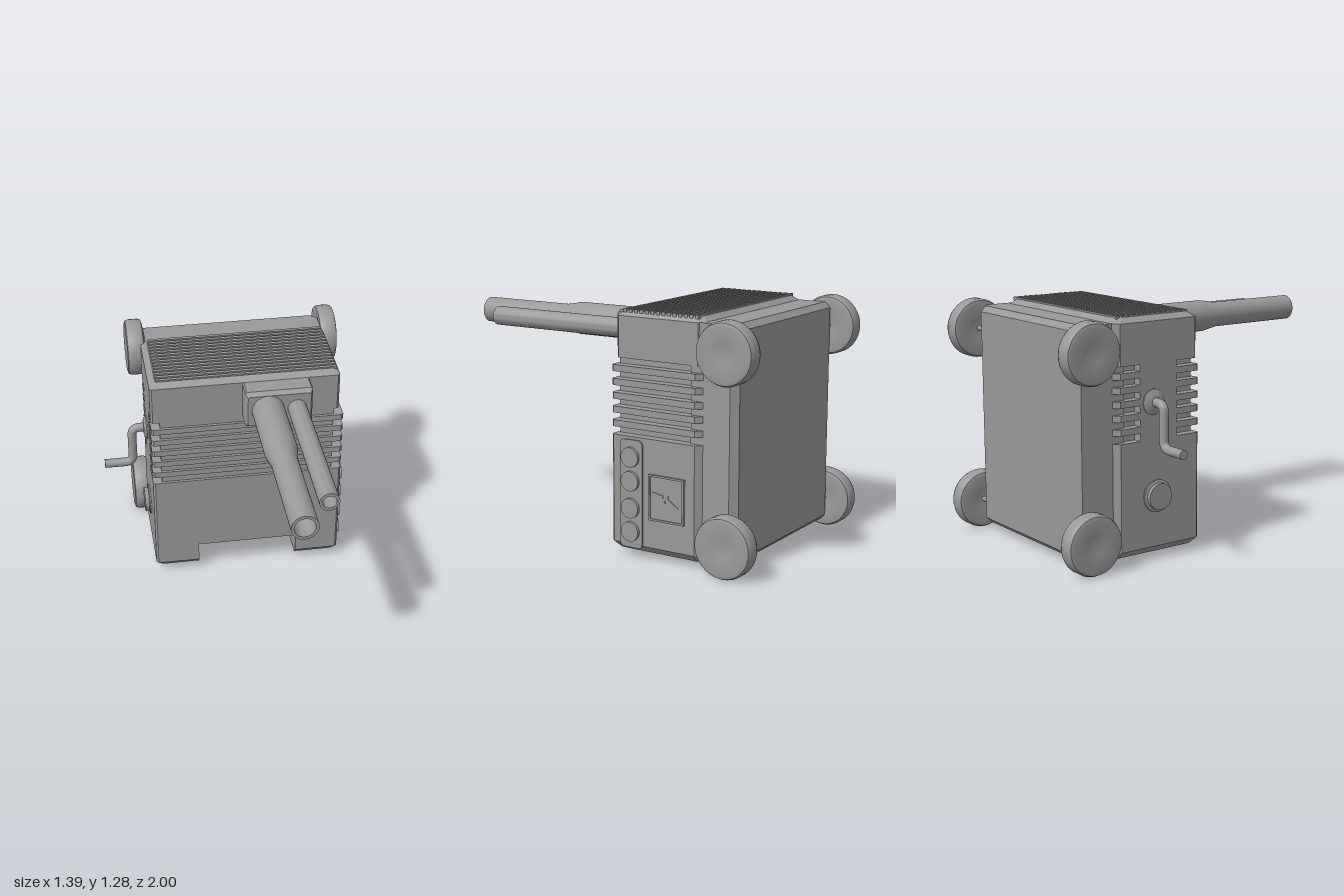
import * as THREE from 'three';
import { toCreasedNormals } from 'three/addons/utils/BufferGeometryUtils.js';

const grey = new THREE.MeshStandardMaterial({ color: 0x999999 });
grey.name = 'plain grey';

export function createModel() {
  const model = new THREE.Group();

  const add = (name, geometry, x = 0, y = 0, z = 0, parent = model) => {
    const mesh = new THREE.Mesh(geometry, grey);
    mesh.name = name;
    mesh.position.set(x, y, z);
    parent.add(mesh);
    return mesh;
  };
  const box = (name, x0, x1, y0, y1, z0, z1) =>
    add(name, new THREE.BoxGeometry(x1 - x0, y1 - y0, z1 - z0), (x0 + x1) / 2, (y0 + y1) / 2, (z0 + z1) / 2);

  // Plan rectangle with cut corners: front -x, front +x, back +x, back -x
  const plan = (x0, x1, zf, zb, [a, b, c, d] = [0, 0, 0, 0]) => [
    [x0, zf - a], [x0 + a, zf], [x1 - b, zf], [x1, zf - b],
    [x1, zb + c], [x1 - c, zb], [x0 + d, zb], [x0, zb + d],
  ];
  // Solid through stacked convex outlines, each given as [height, outline]
  const loft = (sections) => {
    const v = [];
    const tri = (...points) => points.forEach((p) => v.push(...p));
    const rings = sections.map(([y, o]) => o.map(([x, z]) => [x, y, z]));
    const n = rings[0].length;
    for (let s = 0; s < rings.length - 1; s++) {
      const lo = rings[s], hi = rings[s + 1];
      for (let i = 0; i < n; i++) {
        const j = (i + 1) % n;
        tri(lo[i], lo[j], hi[j]);
        tri(lo[i], hi[j], hi[i]);
      }
    }
    const bottom = rings[0], top = rings[rings.length - 1];
    for (let i = 1; i < n - 1; i++) {
      tri(bottom[0], bottom[i + 1], bottom[i]);
      tri(top[0], top[i], top[i + 1]);
    }
    const g = new THREE.BufferGeometry();
    g.setAttribute('position', new THREE.Float32BufferAttribute(v, 3));
    g.computeVertexNormals();
    return g;
  };
  // Side profile in (-z, y) extruded along +x
  const across = (points, depth) => {
    const shape = Array.isArray(points) ? new THREE.Shape(points.map(([u, y]) => new THREE.Vector2(u, y))) : points;
    return new THREE.ExtrudeGeometry(shape, { depth, bevelEnabled: false, curveSegments: 10 }).rotateY(Math.PI / 2);
  };
  const lathe = (points, sides = 40) =>
    toCreasedNormals(new THREE.LatheGeometry(points.map(([r, y]) => new THREE.Vector2(r, y)), sides), 0.6);

  const F = -0.144, B = -0.675, L = -0.45, R = 0.62;
  const cuts = [0.012, 0.012, 0.035, 0.035];

  // Lower body, with two feet either side of a sloping front notch
  add('lowerBody', loft([[0.185, plan(L, R, F, B, cuts)], [0.645, plan(L, R, F, B, cuts)]]));
  for (const [x0, x1, i0, i1, c] of [
    [L, -0.2, 0.03, 0, [0.012, 0, 0, 0.035]],
    [0.37, R, 0, 0.03, [0, 0.012, 0.035, 0]],
  ]) {
    add('foot', loft([
      [0.04, plan(x0 + i0, x1 - i1, F - 0.03, B, c)],
      [0.075, plan(x0, x1, F, B, c)],
      [0.185, plan(x0, x1, F, B, c)],
    ]));
    box('footPad', x0 + 0.05, x1 - 0.04, 0.036, 0.042, -0.36, -0.2);
  }
  add('notchSlope', across([[0.144, 0.185], [0.4, 0.04], [0.675, 0.04], [0.675, 0.185]], 0.57), -0.2);
  const notchPanel = box('notchPanel', -0.18, 0.35, 0.109, 0.115, -0.392, -0.152);
  notchPanel.rotation.x = -Math.atan2(0.145, 0.256);

  // Ribbed band
  add('ribCore', loft([[0.64, plan(-0.4, 0.565, -0.16, -0.645)], [1.045, plan(-0.4, 0.565, -0.16, -0.645)]]));
  for (let i = 0; i < 5; i++) {
    const y = 0.686 + i * 0.0715, o = plan(L, R, F, B, cuts);
    add('rib', loft([[y, o], [y + 0.034, o]]));
  }
  box('crankPanel', L, -0.39, 0.64, 1.045, -0.52, -0.29);

  // Upper body with bevelled rim and top grille
  const upper = plan(L, 0.595, -0.16, B, cuts);
  add('upperBody', loft([
    [1.04, upper], [1.255, upper],
    [1.282, plan(L + 0.035, 0.57, -0.192, B + 0.035, cuts)],
  ]));
  for (let i = 0; i < 14; i++) {
    const z = -0.635 + i * 0.0325;
    box('grilleBar', -0.41, 0.58, 1.27, 1.29, z, z + 0.019);
  }

  // Back block
  const backCuts = [0, 0, 0.035, 0];
  add('backBlock', loft([
    [0.04, plan(-0.42, 0.59, -0.6, -0.825, backCuts)],
    [0.07, plan(-0.42, 0.59, -0.6, -0.856, backCuts)],
    [1.227, plan(-0.42, 0.59, -0.6, -0.856, backCuts)],
    [1.257, plan(-0.42, 0.59, -0.6, -0.825, backCuts)],
  ]));

  // Wheels and axles
  const wheelProfile = [
    [0, -0.032], [0.05, -0.037], [0.135, -0.05], [0.152, -0.045], [0.16, -0.027],
    [0.16, 0.027], [0.152, 0.045], [0.135, 0.05], [0.05, 0.037], [0, 0.032],
  ];
  for (const y of [0.165, 1.13]) {
    add('axle', new THREE.CylinderGeometry(0.014, 0.014, 1.1, 12).rotateZ(Math.PI / 2), 0.087, y, -0.838);
    for (const x of [-0.471, 0.644]) add('wheel', lathe(wheelProfile).rotateZ(Math.PI / 2), x, y, -0.838);
  }

  // Twin tubes on a bevelled mount
  const mountCuts = [0.008, 0.008, 0.008, 0.008];
  const mount = plan(0.055, 0.422, -1.04, -1.255, mountCuts);
  add('tubeMount', loft([
    [-0.2, mount], [-0.06, mount],
    [-0.038, plan(0.067, 0.41, -1.055, -1.235, mountCuts)],
  ]).rotateX(Math.PI / 2));
  const big = [[0.088, -0.06], [0.088, 0.355], [0.07, 0.455], [0.07, 1], [0.054, 1], [0.054, 0.7], [0, 0.7]];
  const small = [[0.052, -0.06], [0.052, 0.815], [0.036, 0.815], [0.036, 0.55], [0, 0.55]];
  add('largeTube', lathe(big).rotateX(Math.PI / 2), 0.176, 1.147);
  add('smallTube', lathe(small).rotateX(Math.PI / 2), 0.335, 1.145);

  // Crank on the right side
  add('crankHub', lathe([[0, 0], [0.068, 0], [0.068, 0.008], [0.042, 0.022], [0, 0.022]]).rotateZ(Math.PI / 2), L + 0.002, 0.84, -0.435);
  const path = new THREE.CurvePath();
  const P = (x, y) => new THREE.Vector3(x, y, -0.435);
  path.add(new THREE.LineCurve3(P(-0.44, 0.84), P(-0.49, 0.84)));
  path.add(new THREE.QuadraticBezierCurve3(P(-0.49, 0.84), P(-0.537, 0.84), P(-0.537, 0.793)));
  path.add(new THREE.LineCurve3(P(-0.537, 0.793), P(-0.537, 0.657)));
  path.add(new THREE.QuadraticBezierCurve3(P(-0.537, 0.657), P(-0.537, 0.61), P(-0.584, 0.61)));
  path.add(new THREE.LineCurve3(P(-0.584, 0.61), P(-0.7, 0.61)));
  add('crank', new THREE.TubeGeometry(path, 60, 0.025, 14));
  add('crankEnd', new THREE.CircleGeometry(0.025, 14).rotateY(-Math.PI / 2), -0.7, 0.61, -0.435);
  add('sideCap', lathe([[0, 0], [0.086, 0], [0.086, 0.01], [0.07, 0.014], [0.07, 0.036], [0, 0.036]]).rotateZ(Math.PI / 2), L + 0.002, 0.345, -0.415);

  // Dial panel on the left side
  const r = 0.025, u0 = 0.2, u1 = 0.335, y0 = 0.06, y1 = 0.63;
  const panel = new THREE.Shape();
  panel.absarc(u1 - r, y0 + r, r, -Math.PI / 2, 0);
  panel.absarc(u1 - r, y1 - r, r, 0, Math.PI / 2);
  panel.absarc(u0 + r, y1 - r, r, Math.PI / 2, Math.PI);
  panel.absarc(u0 + r, y0 + r, r, Math.PI, Math.PI * 1.5);
  add('dialPanel', across(panel, 0.013), 0.616);
  for (const y of [0.148, 0.272, 0.415, 0.54])
    add('dial', new THREE.CylinderGeometry(0.052, 0.052, 0.025, 28).rotateZ(Math.PI / 2), 0.633, y, -0.267);

  // Framed warning plate
  const frame = new THREE.Shape([[0.375, 0.225], [0.585, 0.225], [0.585, 0.465], [0.375, 0.465]].map((p) => new THREE.Vector2(...p)));
  frame.holes.push(new THREE.Path([[0.385, 0.235], [0.385, 0.455], [0.575, 0.455], [0.575, 0.235]].map((p) => new THREE.Vector2(...p))));
  add('warningFrame', across(frame, 0.017), 0.616);
  box('warningPlate', 0.615, 0.626, 0.23, 0.46, -0.58, -0.38);
  add('boltSymbol', across([
    [0.4, 0.375], [0.41, 0.335], [0.475, 0.325], [0.473, 0.34], [0.555, 0.308],
    [0.49, 0.352], [0.494, 0.368], [0.462, 0.352], [0.46, 0.365],
  ].reverse(), 0.007), 0.624);

  // Underside fittings and handle
  for (const x of [-0.25, 0.425]) box('latch', x - 0.035, x + 0.035, 0.028, 0.045, -0.64, -0.54);
  const handlePath = new THREE.CatmullRomCurve3(
    [[-0.04, 0.045], [-0.02, 0.028], [0.085, 0.027], [0.19, 0.028], [0.21, 0.045]].map(([x, y]) => new THREE.Vector3(x, y, -0.75)), false, 'catmullrom', 0.1);
  add('handle', new THREE.TubeGeometry(handlePath, 24, 0.007, 8));

  return model;
}
